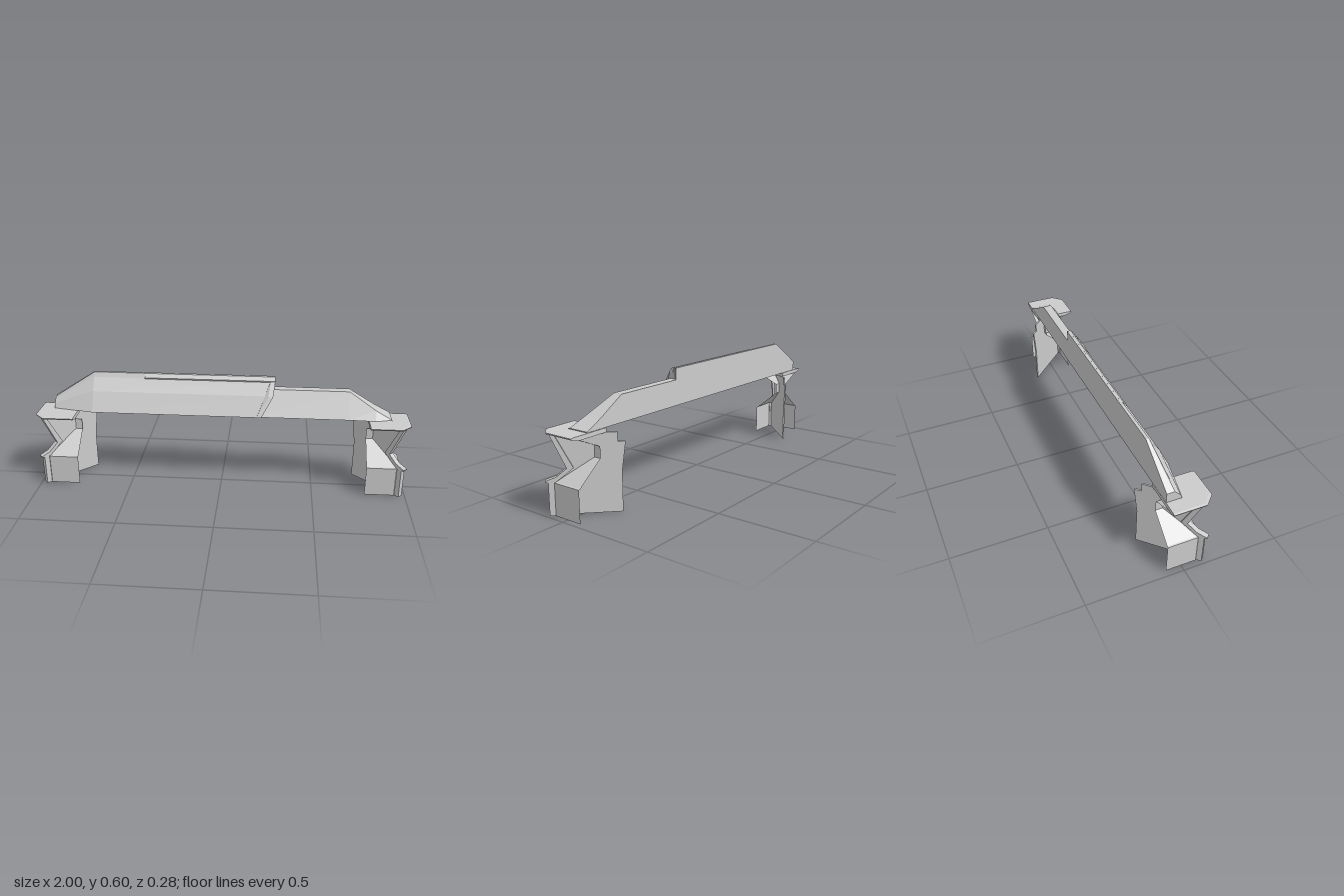
import * as THREE from 'three';

const material = new THREE.MeshStandardMaterial({ color: 0xcccccc, flatShading: true, side: THREE.DoubleSide });

// Skin a list of point rings; closed rings also get end caps.
function loft(rings, closed = true) {
  const pos = [];
  const tri = (...pts) => pts.forEach((p) => pos.push(...p));
  const n = rings[0].length;
  for (let i = 0; i < rings.length - 1; i++) {
    for (let j = 0; j < (closed ? n : n - 1); j++) {
      const k = (j + 1) % n;
      const a = rings[i][j], b = rings[i][k], c = rings[i + 1][k], d = rings[i + 1][j];
      tri(a, d, c);
      tri(a, c, b);
    }
  }
  if (closed) {
    const s = rings[0], e = rings[rings.length - 1];
    for (let j = 1; j < n - 1; j++) {
      tri(s[0], s[j], s[j + 1]);
      tri(e[0], e[j + 1], e[j]);
    }
  }
  const g = new THREE.BufferGeometry();
  g.setAttribute('position', new THREE.Float32BufferAttribute(pos, 3));
  g.computeVertexNormals();
  return g;
}

function add(parent, name, geometry) {
  const mesh = new THREE.Mesh(geometry, material);
  mesh.name = name;
  parent.add(mesh);
  return mesh;
}

// Upright plate on the diagonal, outlined by (offset, height) points.
function diagonalPlate(points, thickness) {
  const shape = new THREE.Shape(points.map(([u, y]) => new THREE.Vector2(u * Math.SQRT2, y)));
  const g = new THREE.ExtrudeGeometry(shape, { depth: thickness, bevelEnabled: false });
  g.translate(0, 0, -thickness / 2);
  return g.rotateY(-Math.PI / 4);
}

// Corner-shaped pillar, drawn outward from its inner back corner.
function makePillar(name) {
  const pillar = new THREE.Group();
  pillar.name = name;

  // Two outer walls: base, tapered shoulder, neck and flare
  const wall = ([h, y, c]) => [[h, y, 0], [h, y, h - c], [h - c, y, h], [0, y, h]];
  const levels = [[0.183, 0, 0.025], [0.183, 0.16, 0.025], [0.175, 0.163, 0.025],
    [0.043, 0.27, 0.004], [0.043, 0.328, 0.004], [0.18, 0.392, 0.03]];
  add(pillar, 'pillarWalls', loft(levels.map(wall), false));

  // Chamfered cap slab
  const slab = ([h, y, c]) => [[0, y, 0], ...wall([h, y, c])];
  add(pillar, 'pillarCap', loft([[0.175, 0.384, 0.03], [0.212, 0.395, 0.05],
    [0.215, 0.402, 0.05], [0.205, 0.405, 0.05]].map(slab)));

  // Thin fin running through the corner and out behind
  const edge = [[0.19, 0], [0.19, 0.16], [0.2, 0.162], [0.2, 0.168], [0.165, 0.185], [0.13, 0.225], [0.18, 0.385]];
  add(pillar, 'diagonalFin', diagonalPlate([[-0.047, 0], ...edge,
    [-0.035, 0.385], [-0.035, 0.34], [-0.06, 0.34], [-0.047, 0.2]], 0.008));

  // Thicker rim along the front of the fin
  const inner = [[0.165, 0.385], [0.108, 0.225], [0.15, 0.178], [0.168, 0.16], [0.168, 0]];
  add(pillar, 'finRim', diagonalPlate([...edge, ...inner], 0.028));
  pillar.position.set(0.785, 0, -0.08);
  return pillar;
}

// Beam cross-section: flat back, sloping front; the top may lean along x.
const BACK = -0.08;
const FLOOR = 0.407;
const section = ([x, top, zBottom, zTop, xTop = x]) => [
  [x, FLOOR, zBottom], [xTop, top, zTop], [xTop, top, BACK], [x, FLOOR, BACK]];

export function createModel() {
  const model = new THREE.Group();
  model.name = 'gateway';

  const left = makePillar('leftPillar');
  const right = makePillar('rightPillar');
  right.position.x *= -1;
  right.scale.x = -1;
  model.add(left, right);

  // Tall beam with a sloping end and an undercut joint
  const tall = (x, notch) => [
    [x - notch, FLOOR, 0.046], [x - notch * 0.4, 0.51, -0.006], [x, 0.575, -0.052], [x, 0.6, -0.064],
    [x, 0.6, BACK], [x, 0.53, BACK], [x - notch, FLOOR, BACK]];
  const end = [[-0.92, FLOOR, 0.0], [-0.92, 0.43, -0.01], [-0.92, 0.45, -0.03], [-0.92, 0.46, -0.04],
    [-0.92, 0.46, BACK], [-0.92, 0.44, BACK], [-0.92, FLOOR, BACK]];
  add(model, 'tallBeam', loft([end, tall(-0.7, 0), tall(0.28, 0.08)]));

  // Raised rail along the upper front edge
  const rail = (x) => [[x, 0.575, -0.045], [x, 0.582, -0.043], [x, 0.601, -0.06], [x, 0.601, -0.07], [x, 0.575, -0.06]];
  add(model, 'topRail', loft([rail(-0.42), rail(0.285)]));

  // Slanted collar where the two beams meet
  const collar = (dx) => [[0.19 + dx, FLOOR, 0.05], [0.25 + dx, 0.51, 0.004],
    [0.26 + dx, 0.58, -0.044], [0.26 + dx, 0.58, -0.07], [0.19 + dx, FLOOR, -0.07]];
  add(model, 'jointCollar', loft([collar(0), collar(0.025)]));

  // Short beam tapering down onto the left pillar
  add(model, 'shortBeam', loft([
    [0.16, 0.54, 0.04, -0.033], [0.68, 0.54, 0.04, -0.033],
    [0.82, 0.455, 0.046, 0.012], [0.905, 0.411, 0.046, 0.03]].map(section)));

  return model;
}
